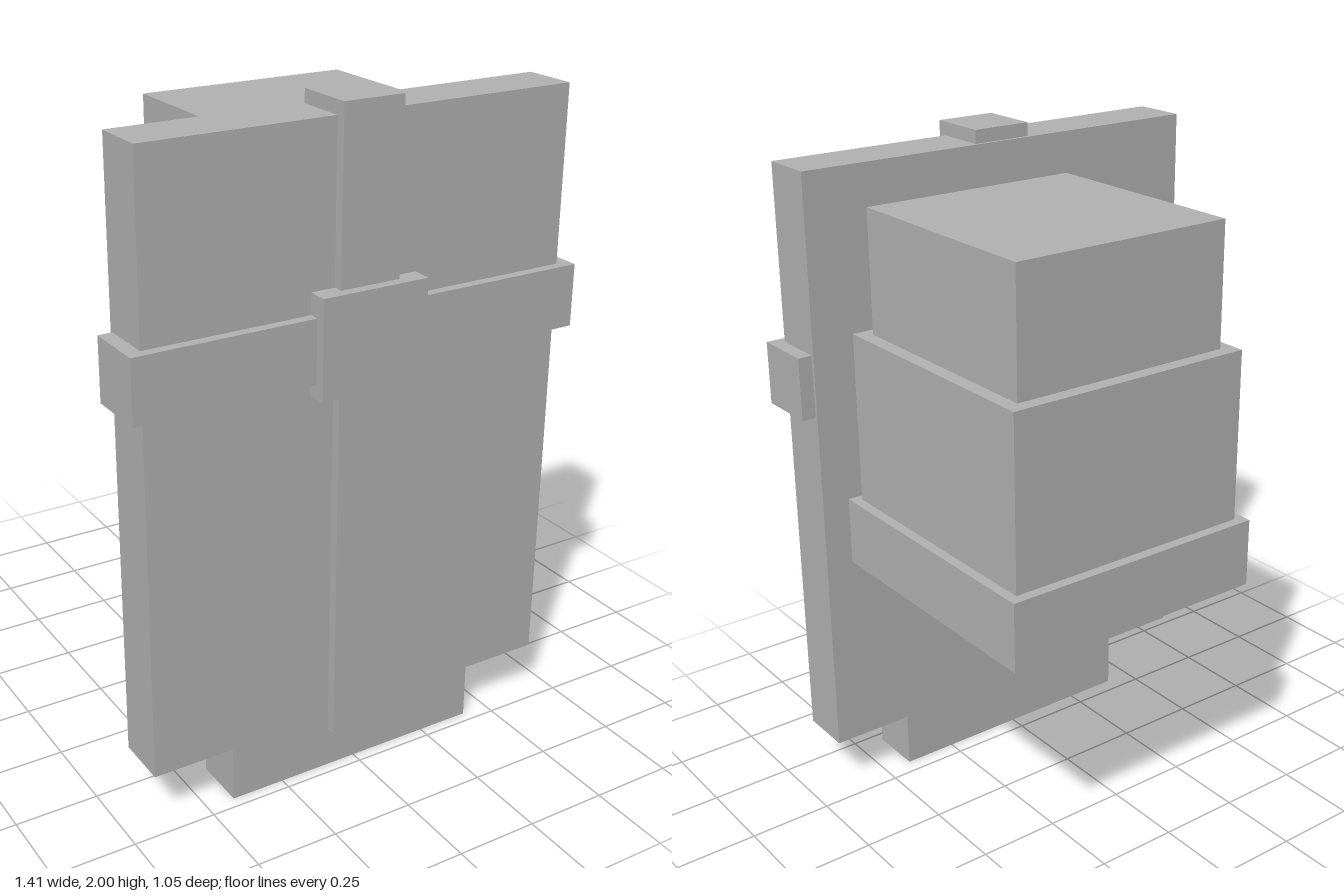
import * as THREE from 'three';

export function createModel() {
  const model = new THREE.Group();
  const grey = new THREE.MeshStandardMaterial({ color: 0xb2b2b2 });
  grey.name = 'plain grey';

  const add = (name, geometry) => {
    const mesh = new THREE.Mesh(geometry, grey);
    mesh.name = name;
    model.add(mesh);
    return mesh;
  };

  // Box given by its minimum and maximum corners
  const block = (name, [x0, y0, z0], [x1, y1, z1]) =>
    add(name, new THREE.BoxGeometry(x1 - x0, y1 - y0, z1 - z0))
      .position.set((x0 + x1) / 2, (y0 + y1) / 2, (z0 + z1) / 2);

  // Upright slab with a narrower foot
  const half = [[0.415, 0], [0.415, 0.17], [0.665, 0.17], [0.665, 1.96]];
  const outline = [...half, ...half.map(([x, y]) => [-x, y]).reverse()];
  const shape = new THREE.Shape(outline.map(([x, y]) => new THREE.Vector2(x, y)));
  add('slab', new THREE.ExtrudeGeometry(shape, { depth: 0.165, bevelEnabled: false }))
    .position.z = 0.3;

  // Crossing straps and the plate where they meet
  block('verticalStrap', [-0.093, 0.127, 0.31], [0.093, 2, 0.495]);
  block('horizontalStrap', [-0.707, 1.253, 0.31], [0.707, 1.44, 0.495]);
  block('centrePlate', [-0.166, 1.212, 0.36], [0.166, 1.503, 0.526]);

  // Stepped box behind the slab, from bottom to top
  block('lowerTier', [-0.25, 0.775, -0.526], [0.58, 0.98, 0.3]);
  block('middleTier', [-0.22, 0.98, -0.495], [0.55, 1.49, 0.274]);
  block('upperTier', [-0.178, 1.49, -0.453], [0.508, 1.853, 0.234]);

  return model;
}
